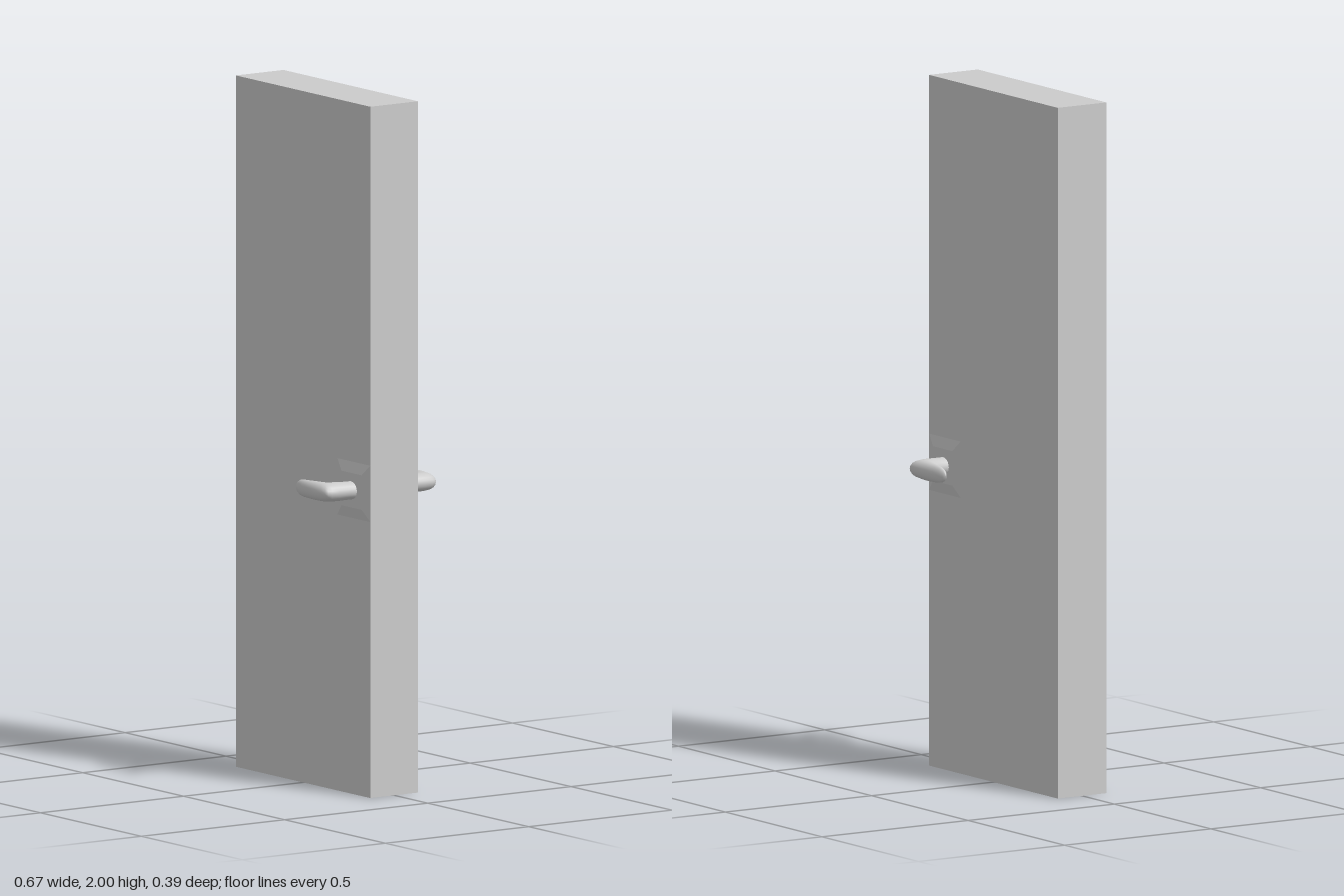
import * as THREE from 'three';

const material = new THREE.MeshStandardMaterial({ color: 0xcccccc, side: THREE.DoubleSide });
const flatMaterial = new THREE.MeshStandardMaterial({ color: 0xcccccc, flatShading: true });

const HALF_DEPTH = 0.083;
const HANDLE_X = 0.2515;
const HANDLE_Y = 0.88;

// Lever cross-sections: outer x, z, inner x, z, half height
const SECTIONS = [
  [0.278, 0.085, 0.220, 0.085, 0.026],
  [0.278, 0.110, 0.217, 0.108, 0.026],
  [0.278, 0.150, 0.211, 0.124, 0.027],
  [0.277, 0.176, 0.205, 0.133, 0.027],
  [0.274, 0.188, 0.200, 0.139, 0.027],
  [0.266, 0.194, 0.196, 0.143, 0.027],
  [0.248, 0.196, 0.188, 0.148, 0.027],
  [0.215, 0.197, 0.176, 0.154, 0.027],
  [0.180, 0.196, 0.160, 0.159, 0.026],
  [0.150, 0.194, 0.141, 0.163, 0.025],
  [0.126, 0.190, 0.122, 0.167, 0.022],
  [0.110, 0.185, 0.109, 0.171, 0.015],
  [0.104, 0.181, 0.104, 0.175, 0.008],
  [0.102, 0.178, 0.102, 0.178, 0.000],
];

// Skins the elliptical sections into one smooth tube
function leverGeometry(sides = 20) {
  const positions = [];
  const index = [];
  SECTIONS.forEach(([ox, oz, ix, iz, h], i) => {
    for (let j = 0; j < sides; j++) {
      const a = (j / sides) * Math.PI * 2;
      const c = Math.cos(a) / 2;
      positions.push(
        (ox + ix) / 2 + c * (ox - ix),
        Math.sin(a) * h,
        (oz + iz) / 2 + c * (oz - iz)
      );
      if (i < SECTIONS.length - 1) {
        const p = i * sides + j;
        const q = i * sides + ((j + 1) % sides);
        index.push(p, q, q + sides, p, q + sides, p + sides);
      }
    }
  });
  const geometry = new THREE.BufferGeometry();
  geometry.setAttribute('position', new THREE.Float32BufferAttribute(positions, 3));
  geometry.setIndex(index);
  geometry.computeVertexNormals();
  return geometry;
}

// Square plate with bevelled sides, facing +z
function plateGeometry() {
  const height = 0.008;
  return new THREE.CylinderGeometry(0.05 * Math.SQRT2, 0.0815 * Math.SQRT2, height, 4)
    .rotateY(Math.PI / 4)
    .rotateX(Math.PI / 2)
    .translate(HANDLE_X, 0, HALF_DEPTH + height / 2);
}

export function createModel() {
  const model = new THREE.Group();
  model.name = 'door';

  const panel = new THREE.Mesh(new THREE.BoxGeometry(0.666, 2, HALF_DEPTH * 2), flatMaterial);
  panel.name = 'doorPanel';
  panel.position.y = 1;
  model.add(panel);

  // Matching handle sets on both faces
  const leverShape = leverGeometry();
  const plateShape = plateGeometry();
  for (const side of ['front', 'back']) {
    const handle = new THREE.Group();
    handle.name = side + 'Handle';
    const plate = new THREE.Mesh(plateShape, flatMaterial);
    plate.name = side + 'HandlePlate';
    const lever = new THREE.Mesh(leverShape, material);
    lever.name = side + 'HandleLever';
    handle.add(plate, lever);
    handle.position.y = HANDLE_Y;
    if (side === 'back') handle.rotation.x = Math.PI;
    model.add(handle);
  }
  return model;
}
